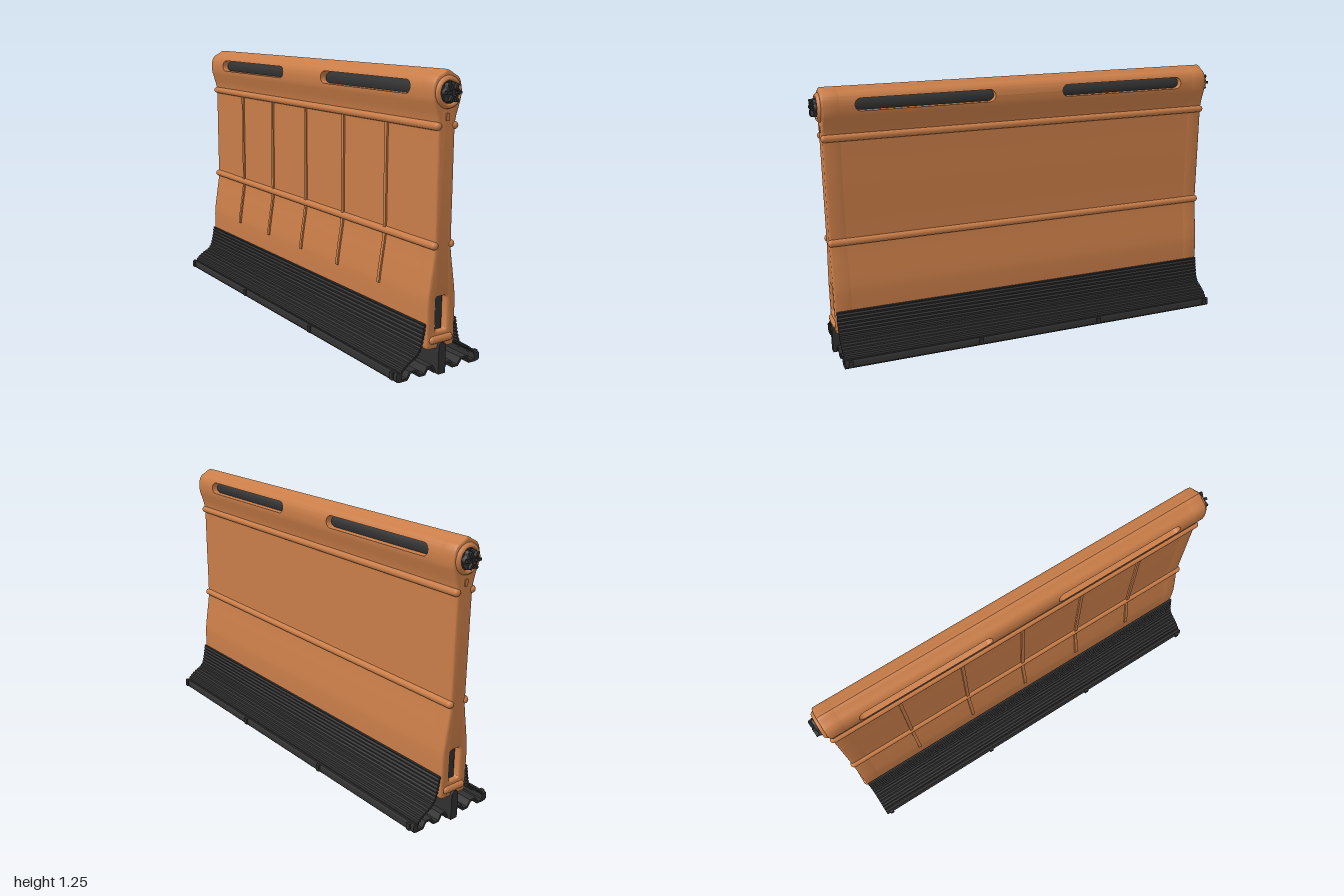
import * as THREE from 'three';
import { toCreasedNormals } from 'three/addons/utils/BufferGeometryUtils.js';

const V = (x, y) => new THREE.Vector2(x, y);
const orange = new THREE.MeshStandardMaterial({ color: 0xc97d48 });
orange.name = 'orange plastic';
const dark = new THREE.MeshStandardMaterial({ color: 0x303030 });
dark.name = 'dark rubber';

// Half-width of the panel against height
const profile = new THREE.SplineCurve([
  [0.062, 0.11], [0.073, 0.125], [0.074, 0.2], [0.074, 0.3], [0.07, 0.35], [0.058, 0.43],
  [0.047, 0.5], [0.043, 0.56], [0.043, 0.8], [0.043, 1.0], [0.047, 1.05], [0.062, 1.1],
  [0.071, 1.13], [0.073, 1.165], [0.068, 1.195], [0.055, 1.216], [0.031, 1.229], [0.013, 1.24], [0, 1.245],
].map(p => V(...p))).getPoints(72);

function halfWidth(y) {
  for (let i = 1; i < profile.length; i++) {
    const a = profile[i - 1], b = profile[i];
    if (y <= b.y) return Math.max(0, a.x + (b.x - a.x) * (y - a.y) / (b.y - a.y));
  }
  return 0;
}

// Grip slots through the head
const SLOT_Y = 1.17, SLOT_R = 0.028, SLOT_IN = 0.169, SLOT_OUT = 0.817, BODY_END = 0.885;
function slotOpening(z) {
  const d = Math.min(Math.abs(z) - SLOT_IN, SLOT_OUT - Math.abs(z));
  if (d <= 0) return 0;
  const t = Math.max(0, SLOT_R - d);
  return Math.sqrt(Math.max(0, SLOT_R * SLOT_R - t * t));
}
function stations() {
  const half = [BODY_END];
  for (let i = 0; i <= 10; i++) {
    const d = SLOT_R * (1 - Math.cos(i / 10 * Math.PI / 2));
    half.push(SLOT_IN + d, SLOT_OUT - d);
  }
  return [...half, ...half.map(z => -z)].sort((a, b) => a - b);
}

// Skin a closed outline, given as heights per station, along z
function loft(heightsAt) {
  const zs = stations(), pos = [], idx = [];
  let n = 0;
  zs.forEach(z => {
    const ys = heightsAt(z);
    n = ys.length * 2;
    ys.forEach(y => pos.push(halfWidth(y), y, z));
    [...ys].reverse().forEach(y => pos.push(-halfWidth(y), y, z));
  });
  for (let j = 0; j < zs.length - 1; j++) for (let i = 0; i < n; i++) {
    const a = j * n + i, b = j * n + (i + 1) % n;
    idx.push(a, b, b + n, a, b + n, a + n);
  }
  const g = new THREE.BufferGeometry();
  g.setAttribute('position', new THREE.Float32BufferAttribute(pos, 3));
  g.setIndex(idx);
  return toCreasedNormals(g, 0.6);
}

function extrude(shape, z0, z1, bevel = 0) {
  const g = new THREE.ExtrudeGeometry(shape, {
    depth: z1 - z0 - bevel, curveSegments: 10, bevelEnabled: bevel > 0,
    bevelThickness: bevel, bevelSize: bevel, bevelOffset: -bevel, bevelSegments: 3,
  });
  return toCreasedNormals(g.translate(0, 0, z0), 0.6);
}

// Sheet of even thickness following a polyline in x-y
function sheet(pts, thickness) {
  const offset = s => pts.map((p, i) => {
    const t = pts[Math.min(i + 1, pts.length - 1)].clone().sub(pts[Math.max(i - 1, 0)]).normalize();
    return V(p.x - t.y * s * thickness / 2, p.y + t.x * s * thickness / 2);
  });
  return extrude(new THREE.Shape([...offset(-1), ...offset(1).reverse()]), -0.957, 0.957);
}

function roundedSlot(x, y0, y1, r) {
  const p = new THREE.Path();
  p.moveTo(-x + r, y0).lineTo(x - r, y0).quadraticCurveTo(x, y0, x, y0 + r);
  p.lineTo(x, y1 - r).quadraticCurveTo(x, y1, x - r, y1).lineTo(-x + r, y1);
  p.quadraticCurveTo(-x, y1, -x, y1 - r).lineTo(-x, y0 + r).quadraticCurveTo(-x, y0, -x + r, y0);
  return p;
}

export function createModel() {
  const model = new THREE.Group();
  model.name = 'barrierPanel';
  const add = (name, geo, mat, parent = model) => {
    const m = new THREE.Mesh(geo, mat);
    m.name = name;
    parent.add(m);
    return m;
  };

  // Panel below and above the grip slots
  const lowYs = profile.map(p => p.y).filter(y => y < 1.125);
  add('panel', loft(z => {
    const top = SLOT_Y - slotOpening(z);
    return [...lowYs, ...[0.25, 0.5, 0.75, 1].map(t => 1.125 + (top - 1.125) * t)];
  }), orange);
  const highYs = profile.map(p => p.y).filter(y => y > 1.2);
  add('topRail', loft(z => {
    const low = SLOT_Y + slotOpening(z);
    return [...[0, 0.33, 0.67].map(t => low + (1.2 - low) * t), ...highYs];
  }), orange);

  // Carrying tube inside the head and the inner web
  add('tube', new THREE.CylinderGeometry(0.044, 0.044, 1.94, 32).rotateX(Math.PI / 2).translate(0, 1.157, 0), dark);
  add('innerWeb', new THREE.BoxGeometry(0.038, 0.34, 1.88).translate(0, 0.175, 0), dark);

  // Horizontal beads on both faces
  for (const side of [-1, 1]) for (const y of [0.545, 1.025]) {
    add('bead', new THREE.CapsuleGeometry(0.017, 1.906, 6, 14).rotateX(Math.PI / 2).translate(side * 0.042, y, 0), orange);
  }

  // Upright ribs on one face
  const ribPts = profile.filter(p => p.y > 0.3 && p.y < 1.04);
  const ribShape = new THREE.Shape([
    ...ribPts.map(p => V(-p.x + 0.01, p.y)),
    ...[...ribPts].reverse().map(p => V(-p.x - 0.008, p.y)),
  ]);
  for (let i = -2; i <= 2; i++) add('rib', extrude(ribShape, i * 0.318 - 0.008, i * 0.318 + 0.008), orange);

  // Ends, turned about y for the far one
  const outline = new THREE.Shape([...profile, ...profile.slice(0, -1).reverse().map(p => V(-p.x, p.y))]);
  outline.holes.push(roundedSlot(0.028, 0.185, 0.33, 0.012));
  const post = new THREE.Shape();
  post.moveTo(-0.019, 0).lineTo(0.019, 0).lineTo(0.019, 0.118).absarc(0, 0.118, 0.019, 0, Math.PI).lineTo(-0.019, 0);
  const knob = new THREE.Shape(Array.from({ length: 72 }, (_, i) => {
    const a = i / 72 * Math.PI * 2, r = 0.039 + 0.004 * Math.cos(6 * a);
    return V(r * Math.cos(a), r * Math.sin(a));
  }));
  for (const turn of [0, Math.PI]) {
    const end = new THREE.Group();
    end.name = 'panelEnd';
    end.rotation.y = turn;
    model.add(end);
    add('endCheek', extrude(outline, BODY_END, 0.962, 0.01), orange, end);
    add('collar', new THREE.LatheGeometry([
      V(0.066, 0.93), V(0.066, 0.96), V(0.063, 0.969), V(0.056, 0.976), V(0.049, 0.976), V(0.045, 0.97), V(0.045, 0.93),
    ], 36).rotateX(Math.PI / 2).translate(0, 1.157, 0), orange, end);
    add('crossBar', new THREE.CapsuleGeometry(0.018, 0.088, 6, 14).rotateZ(Math.PI / 2).translate(0, 0.15, 0.957), orange, end);
    add('endPost', extrude(post, 0.88, 0.974), dark, end);
    add('latchTab', extrude(new THREE.Shape(roundedSlot(0.008, 1.045, 1.075, 0.003).getPoints(4)), 0.95, 0.966), orange, end);
    // Knob with radial lugs
    add('knob', extrude(knob, 0.94, 0.987, 0.004).translate(0, 1.157, 0), dark, end);
    for (let i = 0; i < 6; i++) {
      const lug = add('knobLug', new THREE.BoxGeometry(0.026, 0.011, 0.03).translate(0.026, 0, 0), dark, end);
      lug.position.set(0, 1.157, 0.985);
      lug.rotation.z = i * Math.PI / 3;
    }
  }

  // Corrugated base sheet
  const half = [[0, 0.008], [0.024, 0.008], [0.038, 0.034], [0.06, 0.034], [0.076, 0.008], [0.102, 0.008],
    [0.12, 0.034], [0.152, 0.034], [0.168, 0.008], [0.205, 0.008]];
  const basePts = [...half.slice(1).reverse().map(p => V(-p[0], p[1])), ...half.map(p => V(...p))];
  add('baseSheet', sheet(basePts, 0.011), dark);

  // Finely ribbed skirts, edge rails and clips
  const curve = new THREE.SplineCurve([[0.08, 0.224], [0.089, 0.17], [0.1, 0.125], [0.12, 0.097],
    [0.155, 0.077], [0.184, 0.055], [0.203, 0.034]].map(p => V(...p)));
  const skirtPts = curve.getSpacedPoints(84).map((p, i) => {
    const t = curve.getTangentAt(i / 84), w = 0.0025 * Math.cos(i / 84 * Math.PI * 28);
    return V(p.x - t.y * w, p.y + t.x * w);
  });
  const rail = new THREE.Shape([[0.196, 0.004], [0.216, 0.004], [0.223, 0.012], [0.223, 0.036],
    [0.217, 0.045], [0.203, 0.041], [0.196, 0.034]].map(p => V(...p)));
  for (const turn of [0, Math.PI]) {
    const side = new THREE.Group();
    side.name = 'skirtSide';
    side.rotation.y = turn;
    model.add(side);
    add('skirt', sheet(skirtPts, 0.008), dark, side);
    add('edgeRail', extrude(rail, -0.957, 0.957), dark, side);
    for (const z of [-0.93, -0.31, 0.31, 0.93]) {
      add('railClip', new THREE.BoxGeometry(0.022, 0.03, 0.02).translate(0.22, 0.027, z), dark, side);
    }
  }
  return model;
}
